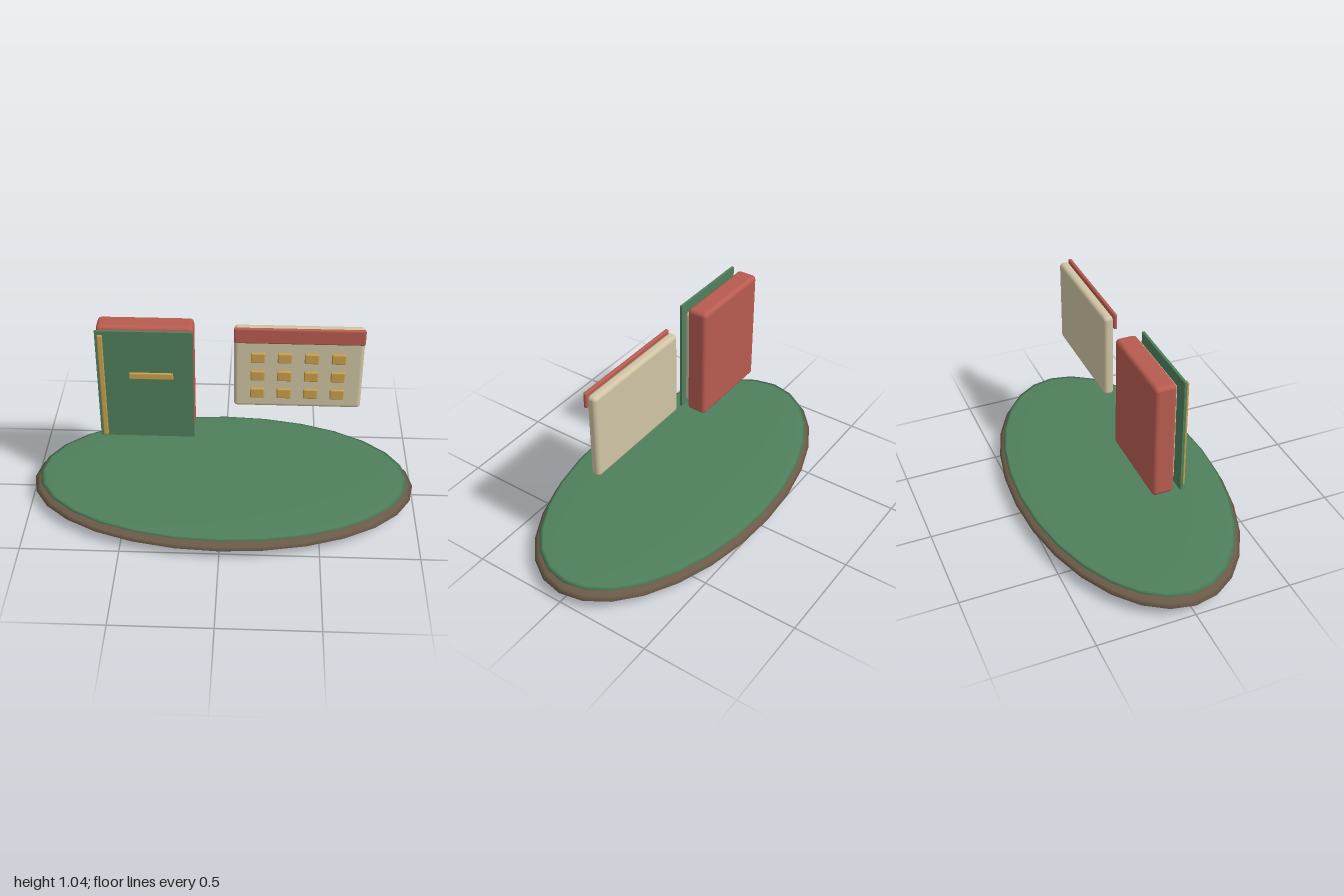
import * as THREE from 'three';
import { RoundedBoxGeometry } from 'three/addons/geometries/RoundedBoxGeometry.js';

const paint = (color) => new THREE.MeshStandardMaterial({ color });
const red = paint(0xb85c50);
const green = paint(0x4f805c);
const cream = paint(0xd0c4a4);
const gold = paint(0xc9a04c);
const brown = paint(0x6b5a48);

// Box given by its extents on each axis, with rounded edges when r > 0
function block(name, material, [x0, x1], [y0, y1], [z0, z1], r = 0) {
  const size = [x1 - x0, y1 - y0, z1 - z0];
  const geometry = r > 0
    ? new RoundedBoxGeometry(...size, 3, r)
    : new THREE.BoxGeometry(...size);
  const mesh = new THREE.Mesh(geometry, material);
  mesh.name = name;
  mesh.position.set((x0 + x1) / 2, (y0 + y1) / 2, (z0 + z1) / 2);
  return mesh;
}

// Flattened ellipsoid
function disc(name, material, rx, ry, rz, y) {
  const geometry = new THREE.SphereGeometry(1, 28, 14).scale(rx, ry, rz);
  const mesh = new THREE.Mesh(geometry, material);
  mesh.name = name;
  mesh.position.y = y;
  return mesh;
}

function createBook() {
  const book = new THREE.Group();
  book.name = 'book';
  book.add(
    block('bookBody', red, [-0.61, -0.14], [0.425, 1.036], [-0.054, 0.055], 0.022),
    block('pages', cream, [-0.565, -0.155], [0.46, 1.0], [0.02, 0.08], 0.02),
    block('frontCover', green, [-0.61, -0.14], [0.426, 1.037], [0.087, 0.1]),
    block('spineStrip', gold, [-0.596, -0.571], [0.44, 1.022], [0.105, 0.118], 0.005),
    block('titleBar', gold, [-0.452, -0.237], [0.776, 0.811], [0.102, 0.115], 0.005),
  );
  return book;
}

function createCalendar() {
  const calendar = new THREE.Group();
  calendar.name = 'calendar';
  calendar.add(
    block('calendarSheet', cream, [0.055, 0.687], [0.57, 1.024], [-0.025, 0.026], 0.02),
    block('headerStrip', red, [0.055, 0.687], [0.95, 1.033], [0.026, 0.045], 0.008),
  );
  // Grid of day tiles
  for (const y of [0.866, 0.763, 0.661]) {
    for (let i = 0; i < 4; i++) {
      const x = 0.172 + i * 0.131;
      calendar.add(block('dayTile', gold, [x - 0.035, x + 0.035], [y - 0.028, y + 0.028], [0.026, 0.044], 0.007));
    }
  }
  return calendar;
}

export function createModel() {
  const model = new THREE.Group();
  model.name = 'studyDisplay';
  // Oval base with a thin green top
  model.add(disc('ovalBase', brown, 1, 0.06, 0.545, 0.06));
  model.add(disc('greenTop', green, 0.968, 0.018, 0.522, 0.105));
  model.add(createBook(), createCalendar());
  return model;
}
